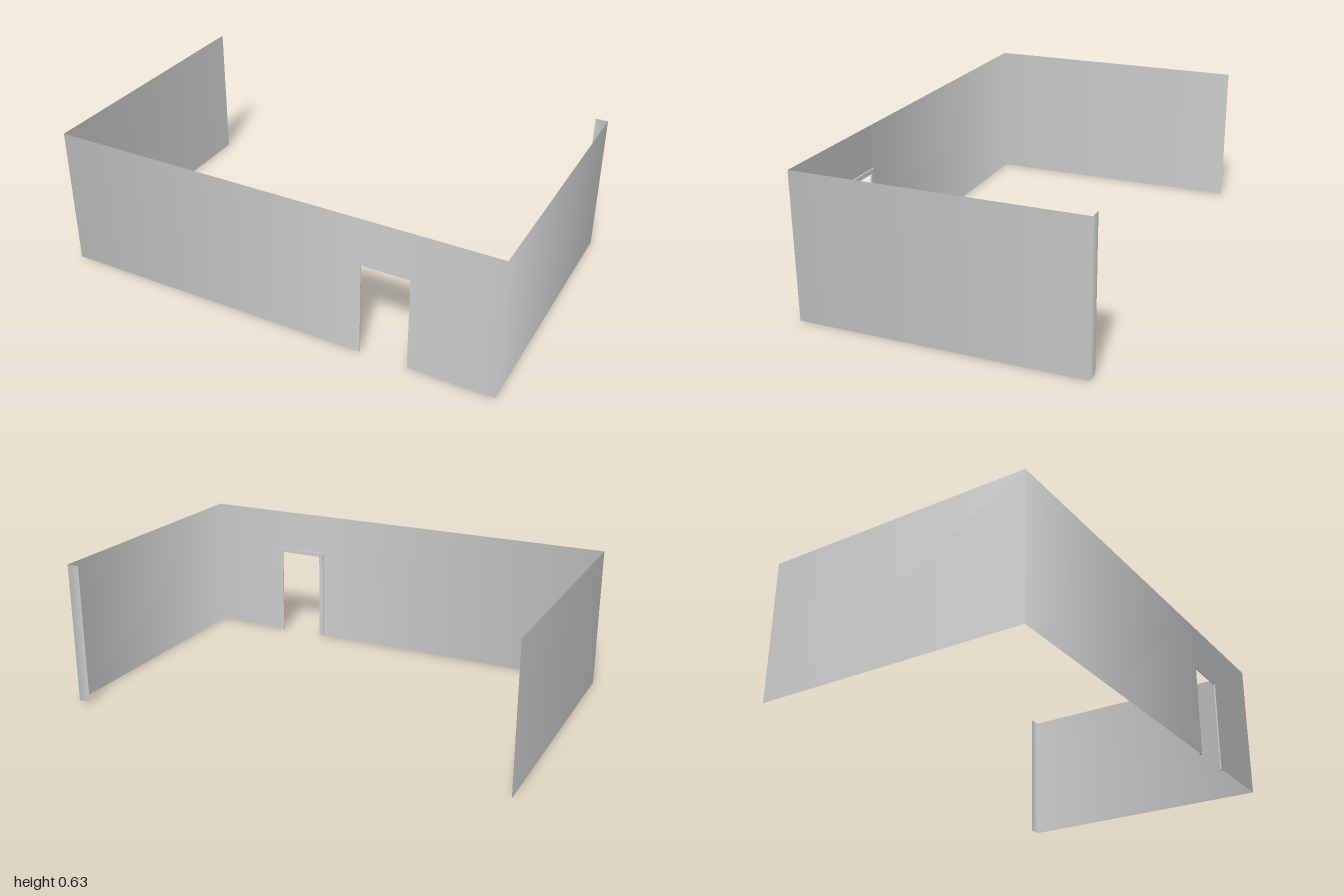
import * as THREE from 'three';

const H = 0.63, Z = 0.605;                            // wall height, half depth
const DOOR = { left: 0.42, right: 0.63, top: 0.42 };  // doorway opening
const material = new THREE.MeshStandardMaterial({ color: 0xcccccc, side: THREE.DoubleSide });

// Upright sheet between two plan stations { x, z, n }, shaded smoothly from one to the other
function panel(name, a, b, y0 = 0, y1 = H) {
  const position = [], normal = [];
  for (const [s, y] of [[a, y0], [b, y0], [b, y1], [a, y1]]) {
    position.push(s.x, y, s.z);
    normal.push(s.n.x, 0, s.n.y);
  }
  const geometry = new THREE.BufferGeometry();
  geometry.setAttribute('position', new THREE.Float32BufferAttribute(position, 3));
  geometry.setAttribute('normal', new THREE.Float32BufferAttribute(normal, 3));
  geometry.setIndex([0, 1, 2, 0, 2, 3]);
  const mesh = new THREE.Mesh(geometry, material);
  mesh.name = name;
  return mesh;
}

const station = (x, z, nx, nz) => ({ x, z, n: new THREE.Vector2(nx, nz).normalize() });

export function createModel() {
  const group = new THREE.Group();
  group.name = 'roomWalls';

  // Plan stations, running round from the back of the right wall
  const backRight = station(-1, -Z, -1, 0);
  const frontRight = station(-1, Z, -1, 1);
  const doorRight = station(DOOR.left, Z, DOOR.left, 1);
  const doorLeft = station(DOOR.right, Z, DOOR.right, 1);
  const frontLeft = station(1, Z, 1, 1);
  const backLeft = station(1, -Z, 1, -1);
  const returnEnd = station(0.945, -Z, 0, -1);

  group.add(
    panel('rightWall', backRight, frontRight),
    panel('frontWallLong', frontRight, doorRight),
    panel('frontWallOverDoor', doorRight, doorLeft, DOOR.top, H),
    panel('frontWallShort', doorLeft, frontLeft),
    panel('leftWall', frontLeft, backLeft),
    panel('backReturn', backLeft, returnEnd),
  );

  // Thin door frame on the inside of the front wall
  const w = 0.02, depth = 0.006;
  const shape = new THREE.Shape([
    [DOOR.left - w, 0], [DOOR.left, 0], [DOOR.left, DOOR.top], [DOOR.right, DOOR.top],
    [DOOR.right, 0], [DOOR.right + w, 0], [DOOR.right + w, DOOR.top + w], [DOOR.left - w, DOOR.top + w],
  ].map(([x, y]) => new THREE.Vector2(x, y)));
  const frame = new THREE.Mesh(
    new THREE.ExtrudeGeometry(shape, { depth, bevelEnabled: false }), material);
  frame.name = 'doorFrame';
  frame.position.z = Z - depth - 0.001;
  group.add(frame);

  return group;
}
